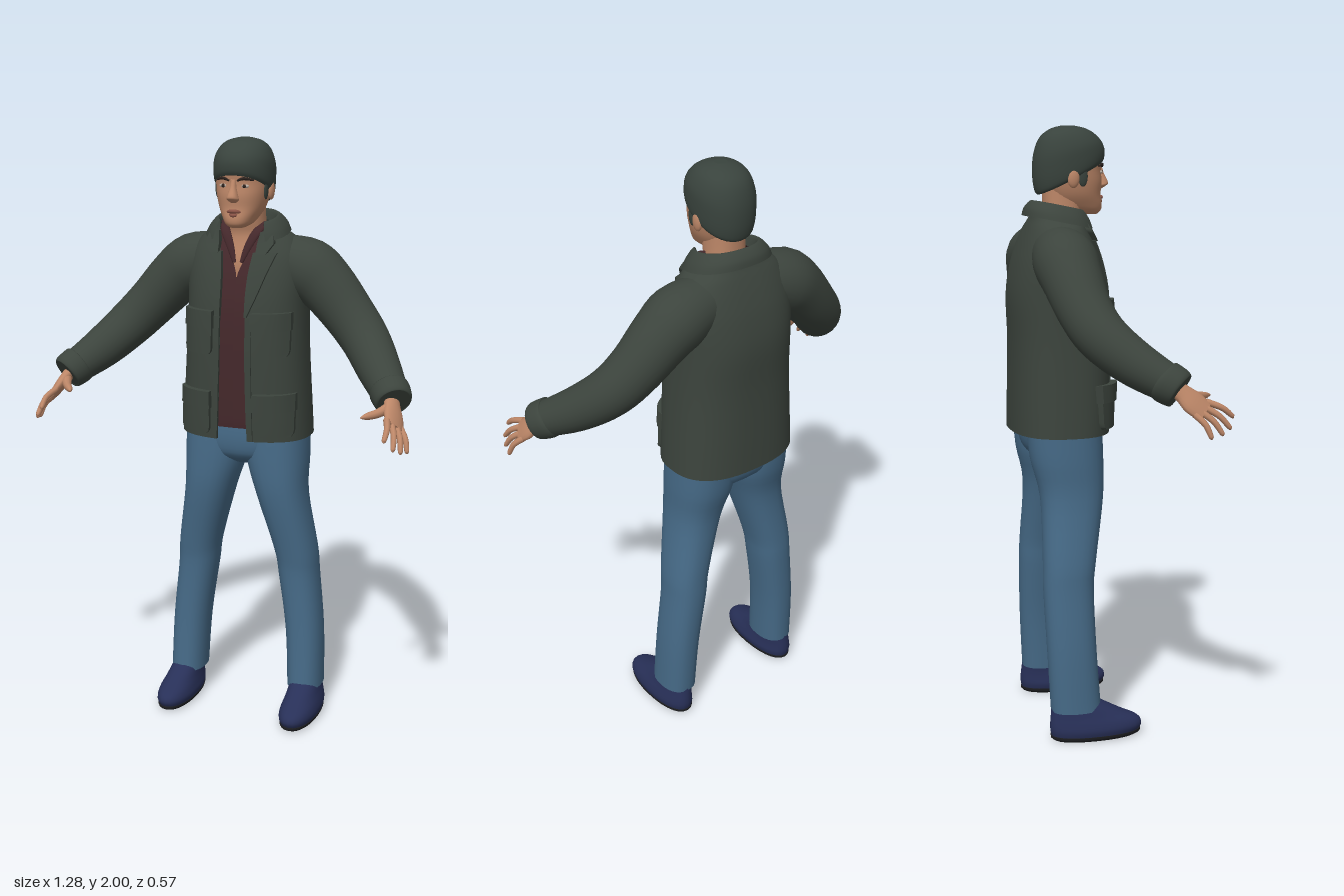
import * as THREE from 'three';

const V = (x, y, z) => new THREE.Vector3(x, y, z);
const paint = (name, color, side = THREE.FrontSide) => {
  const m = new THREE.MeshStandardMaterial({ color, side });
  m.name = name;
  return m;
};

// Smoothly subdivide equally long rows of numbers (Catmull-Rom on every column)
function refine(rows, k) {
  const out = [], at = i => rows[Math.max(0, Math.min(rows.length - 1, i))];
  for (let i = 0; i < rows.length - 1; i++) for (let s = 0; s < k; s++) {
    const t = s / k;
    out.push(rows[i].map((b, c) => {
      const a = at(i - 1)[c], d = at(i + 1)[c], e = at(i + 2)[c];
      return b + 0.5 * t * (d - a + t * (2 * a - 5 * b + 4 * d - e + t * (3 * (b - d) + e - a)));
    }));
  }
  return [...out, rows[rows.length - 1]];
}

// Skin a grid of points; closed grids wrap around and get end caps
function skin(grid, closed = true) {
  const n = grid[0].length, pos = grid.flatMap(r => r.flatMap(p => [p.x, p.y, p.z])), idx = [];
  for (let i = 0; i < grid.length - 1; i++) for (let j = 0; j < (closed ? n : n - 1); j++) {
    const a = i * n + j, b = i * n + (j + 1) % n;
    idx.push(a, b, b + n, a, b + n, a + n);
  }
  if (closed) [grid[0], grid[grid.length - 1]].forEach((ring, top) => {
    const o = pos.length / 3, c = V(0, 0, 0);
    ring.forEach(p => { pos.push(p.x, p.y, p.z); c.addScaledVector(p, 1 / n); });
    pos.push(c.x, c.y, c.z);
    for (let j = 0; j < n; j++) {
      const k = o + (j + 1) % n;
      idx.push(o + n, top ? o + j : k, top ? k : o + j);
    }
  });
  const g = new THREE.BufferGeometry();
  g.setAttribute('position', new THREE.Float32BufferAttribute(pos, 3));
  g.setIndex(idx);
  g.computeVertexNormals();
  return g;
}

const sp = (v, p) => Math.sign(v) * Math.abs(v) ** p;

// Body from level rings, bottom to top: [y, centreX, halfWidth, zFront, zBack, tilt, frontGap]
function body(rows, { n = 2.3, seg = 28, open = false } = {}) {
  return skin(refine(rows, 4).map(([y, cx, rx, zf, zb, tilt = 0, gap = 0]) => {
    const a0 = open ? Math.asin((Math.max(0, gap) / rx) ** (n / 2)) : 0, rz = (zf - zb) / 2;
    return Array.from({ length: seg }, (_, j) => {
      const a = a0 + (2 * Math.PI - 2 * a0) * j / (open ? seg - 1 : seg);
      const dz = rz * sp(Math.cos(a), 2 / n);
      return V(cx + rx * sp(Math.sin(a), 2 / n), y + tilt * dz, (zf + zb) / 2 + dz);
    });
  }), !open);
}

// Limb along a path: [x, y, z, radiusAlongSide, radiusAcross]
function limb(rows, side, seg = 18) {
  const r = refine(rows, 4), P = r.map(q => V(q[0], q[1], q[2]));
  return skin(r.map((q, i) => {
    const T = P[Math.min(i + 1, P.length - 1)].clone().sub(P[Math.max(i - 1, 0)]).normalize();
    const u = side.clone().addScaledVector(T, -side.dot(T)).normalize(), v = u.clone().cross(T);
    return Array.from({ length: seg }, (_, j) => {
      const a = j / seg * 2 * Math.PI;
      return P[i].clone().addScaledVector(u, q[3] * Math.sin(a)).addScaledVector(v, (q[4] ?? q[3]) * Math.cos(a));
    });
  }));
}

function mirrored(g) {
  const m = g.clone().scale(-1, 1, 1), a = m.index.array;
  for (let i = 0; i < a.length; i += 3) [a[i], a[i + 1]] = [a[i + 1], a[i]];
  return m;
}

const JACKET = [
  [1.01, 0, .225, .042, -.28, 0, .055], [1.1, 0, .22, .045, -.279, 0, .05], [1.3, 0, .208, .045, -.276, 0, .045],
  [1.45, 0, .203, .036, -.28, 0, .045], [1.55, 0, .205, .015, -.265, 0, .05], [1.62, 0, .195, -.008, -.243, 0, .06],
  [1.67, 0, .165, -.03, -.222, 0, .07], [1.7, 0, .125, -.037, -.207, 0, .075], [1.73, 0, .098, -.04, -.195, 0, .08]];
const JN = 2.5, FINE = refine(JACKET, 8);

// Depth of the jacket front at x, y
function frontZ(x, y) {
  let i = 0;
  while (i < FINE.length - 2 && FINE[i + 1][0] < y) i++;
  const t = THREE.MathUtils.clamp((y - FINE[i][0]) / (FINE[i + 1][0] - FINE[i][0]), 0, 1);
  const [, , rx, zf, zb] = FINE[i].map((v, c) => v + t * (FINE[i + 1][c] - v));
  return (zf + zb) / 2 + (zf - zb) / 2 * (1 - Math.min(1, x / rx) ** JN) ** (1 / JN);
}

// Padded cloth piece lying on the jacket; rows [y, xInner, xOuter] bottom to top
function pad(rows, depth) {
  const g = new THREE.BoxGeometry(1, 1, 1, 8, 8, 1), p = g.attributes.position;
  for (let i = 0; i < p.count; i++) {
    const f = (p.getY(i) + .5) * (rows.length - 1), r = Math.min(rows.length - 2, Math.floor(f));
    const [y, a, b] = rows[r].map((v, c) => v + (f - r) * (rows[r + 1][c] - v));
    const x = a + (b - a) * (p.getX(i) + .5);
    p.setXYZ(i, x, y, frontZ(x, y) + (p.getZ(i) > 0 ? depth : -.006));
  }
  g.computeVertexNormals();
  return g;
}

const ball = (x, y, z, a, b, c) => new THREE.SphereGeometry(1, 14, 10).scale(a, b, c).translate(x, y, z);

export function createModel() {
  const root = new THREE.Group();
  root.name = 'standingMan';
  const jacket = paint('jacketGreen', 0x3c443d, THREE.DoubleSide), hairMat = paint('hairDark', 0x39433d);
  const shirt = paint('shirtMaroon', 0x44282b, THREE.DoubleSide), jeans = paint('denimBlue', 0x466a87);
  const flesh = paint('skin', 0xbd8768), shoe = paint('shoeNavy', 0x283058), sole = paint('soleBlack', 0x1e1f22);
  const lip = paint('lipBrown', 0x8c5548), dark = paint('browDark', 0x2c221e), white = paint('eyeWhite', 0xb9aca0);
  const add = (name, g, m) => {
    const mesh = new THREE.Mesh(g, m);
    mesh.name = name;
    root.add(mesh);
  };
  const pair = (name, g, m) => {
    add(name + 'Left', g, m);
    add(name + 'Right', mirrored(g), m);
  };

  // Jeans
  add('hips', body([[.905, 0, .06, -.06, -.17], [.94, 0, .17, -.01, -.225], [1, 0, .215, .004, -.245], [1.08, 0, .205, 0, -.245]]), jeans);
  pair('trouserLeg', body([
    [.1, .222, .061, -.03, -.197], [.3, .213, .064, -.043, -.206], [.5, .189, .069, -.046, -.212], [.6, .177, .073, -.035, -.21],
    [.8, .132, .086, 0, -.207], [.93, .112, .105, .005, -.235], [1.05, .11, .104, 0, -.245]]), jeans);

  // Shoes
  pair('shoe', body([
    [.014, .23, .06, .1, -.198], [.035, .23, .065, .11, -.203], [.058, .23, .061, .096, -.203],
    [.085, .228, .054, .04, -.2], [.122, .224, .048, -.03, -.195]], { n: 2.2 }), shoe);
  pair('shoeSole', body([[0, .23, .052, .09, -.188], [.008, .23, .061, .104, -.2], [.018, .23, .063, .106, -.202]], { n: 2.2 }), sole);

  // Shirt, open in a V at the throat
  add('shirt', body(JACKET.slice(0, 8).map(([y, , rx, zf, zb]) =>
    [Math.max(y, 1.05), 0, rx - .014, zf - .014, zb + .014, 0, Math.max(0, (y - 1.56) * .4)]), { n: JN, open: true, seg: 41 }), shirt);
  pair('shirtCollar', limb([[.012, 1.6, -.012, .006, .004], [.03, 1.65, -.024, .013, .005],
    [.055, 1.7, -.045, .016, .006], [.073, 1.725, -.085, .012, .006]], V(1, 0, 0), 10), shirt);

  // Jacket body, collar, lapels and pockets
  add('jacketBody', body(JACKET, { n: JN, open: true, seg: 49 }), jacket);
  add('jacketCollar', body([
    [1.69, 0, .142, 0, -.228, -.2, .09], [1.715, 0, .13, -.008, -.222, -.2, .085], [1.738, 0, .11, -.02, -.205, -.2, .08],
    [1.742, 0, .096, -.03, -.192, -.2, .075], [1.71, 0, .086, -.035, -.185, -.2, .07]], { open: true, seg: 37 }), jacket);
  pair('lapel', pad([[1.43, .043, .05], [1.5, .043, .08], [1.57, .046, .105], [1.635, .055, .13]], .012), jacket);
  pair('collarPoint', pad([[1.632, .065, .098], [1.665, .066, .118], [1.7, .072, .108]], .018), jacket);
  pair('frontPlacket', pad([[1.012, .054, .072], [1.1, .05, .07], [1.3, .045, .065], [1.43, .045, .065]], .006), jacket);
  for (const [name, y, x0, x1] of [['chestPocket', 1.3, .07, .183], ['hipPocket', 1.03, .078, .2]]) {
    pair(name, pad([[y, x0 + .01, x1 - .008], [y + .012, x0, x1], [y + .087, x0, x1], [y + .145, x0 + .004, x1 - .004]], .016), jacket);
    pair(name + 'Flap', pad([[y + .087, x0 - .004, x1 + .003], [y + .145, x0 - .003, x1 + .002]], .024), jacket);
  }

  // Sleeves and cuffs
  pair('sleeve', limb([
    [.1, 1.6, -.14, .085], [.2, 1.572, -.138, .103], [.27, 1.52, -.132, .096], [.35, 1.435, -.115, .086],
    [.42, 1.36, -.078, .08], [.49, 1.285, .005, .071], [.56, 1.222, .105, .056]], V(0, 0, 1), 24), jacket);
  pair('cuff', limb([[.54, 1.242, .075, .058], [.546, 1.236, .083, .065], [.567, 1.217, .115, .061], [.571, 1.213, .121, .052]], V(0, 0, 1), 24), jacket);

  // Hands
  const spread = V(-.48, .48, .73);
  pair('palm', limb([[.553, 1.228, .095, .028, .025], [.567, 1.203, .128, .032, .02],
    [.58, 1.175, .158, .042, .018], [.592, 1.147, .192, .038, .012]], spread, 16), flesh);
  [[.585, 1.127, .287], [.61, 1.096, .27], [.627, 1.081, .24], [.638, 1.074, .2]].forEach((end, i) => {
    const tip = V(...end), base = V(.586, 1.158, .178).addScaledVector(spread, .033 - i * .021);
    const mid = base.clone().lerp(tip, .5).add(V(.006, .006, .004)), pad = base.clone().lerp(tip, .93);
    pair('finger' + (i + 1), limb([[base, .011], [mid, .0095], [pad, .0075], [tip, .002]].map(([p, r]) => [p.x, p.y, p.z, r]), spread, 8), flesh);
  });
  pair('thumb', limb([[.562, 1.2, .14, .018], [.537, 1.188, .185, .014], [.512, 1.184, .218, .011], [.498, 1.183, .24, .003]], V(0, 1, 0), 10), flesh);

  // Neck, head and face
  add('neck', body([[1.54, 0, .08, -.035, -.17], [1.6, 0, .08, -.032, -.17], [1.68, 0, .066, -.046, -.165],
    [1.73, 0, .062, -.035, -.162], [1.8, 0, .062, -.02, -.165]]), flesh);
  add('head', body([
    [1.716, 0, .024, .018, -.04], [1.728, 0, .043, .03, -.09], [1.748, 0, .057, .033, -.13], [1.78, 0, .073, .028, -.15],
    [1.82, 0, .083, .031, -.168], [1.86, 0, .088, .028, -.178], [1.9, 0, .088, .032, -.178], [1.94, 0, .077, .016, -.165],
    [1.97, 0, .045, -.02, -.13]], { seg: 36 }), flesh);
  add('nose', body([[1.798, 0, .011, .034, .01], [1.808, 0, .02, .05, .01], [1.818, 0, .018, .056, .01],
    [1.845, 0, .011, .043, .01], [1.872, 0, .009, .034, .01]], { seg: 16 }), flesh);
  add('upperLip', limb([[-.028, 1.766, .016, .002], [-.012, 1.77, .03, .006], [.012, 1.77, .03, .006], [.028, 1.766, .016, .002]], V(0, 1, 0), 8), lip);
  add('lowerLip', limb([[-.024, 1.764, .018, .002], [0, 1.757, .03, .007], [.024, 1.764, .018, .002]], V(0, 1, 0), 8), lip);
  pair('ear', ball(.089, 1.832, -.083, .011, .032, .02), flesh);
  pair('eye', ball(.036, 1.851, .0215, .015, .006, .005), white);
  pair('iris', ball(.036, 1.851, .025, .006, .006, .0035), dark);
  pair('eyebrow', limb([[.014, 1.868, .032, .003], [.035, 1.875, .027, .005], [.062, 1.869, .008, .003]], V(0, 1, 0), 8), dark);

  // Hair cap sloping down to the nape, with sideburns
  add('hair', body([
    [1.832, 0, .088, .034, -.18, .5], [1.845, 0, .095, .04, -.188, .48], [1.88, 0, .098, .04, -.195, .4], [1.925, 0, .096, .028, -.193, .25],
    [1.965, 0, .08, .004, -.175, .12], [1.988, 0, .055, -.025, -.14, .04], [1.998, 0, .02, -.06, -.1, 0]], { n: 2.15, seg: 36 }), hairMat);
  pair('sideburn', ball(.083, 1.838, -.05, .007, .034, .016), hairMat);
  return root;
}
